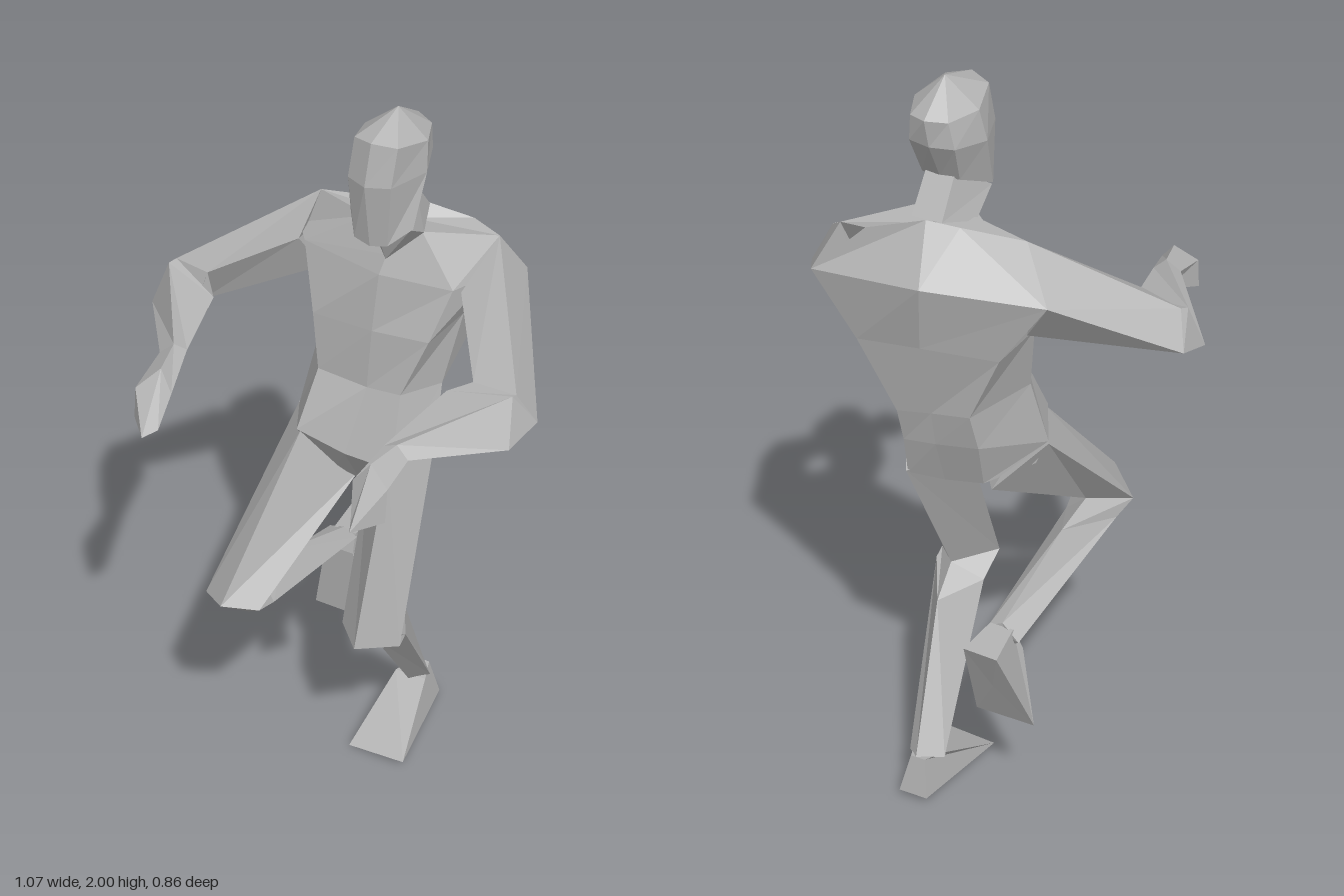
import * as THREE from 'three';

const skin = new THREE.MeshStandardMaterial({ color: 0xb2b2b2, flatShading: true });
skin.name = 'plain grey';

// Skin a list of matching cross-sections into a closed faceted solid.
// An optional tip replaces the centre of the last cap.
function loft(name, rings, tip) {
  const centre = r => [0, 1, 2].map(k => r.reduce((s, p) => s + p[k], 0) / r.length);
  const tris = [], n = rings[0].length, last = rings[rings.length - 1];
  const c0 = centre(rings[0]), c1 = tip || centre(last);
  for (let i = 0; i < n; i++) {
    const j = (i + 1) % n;
    for (let r = 0; r + 1 < rings.length; r++) {
      const a = rings[r], b = rings[r + 1];
      tris.push([a[i], a[j], b[j]], [a[i], b[j], b[i]]);
    }
    tris.push([c0, rings[0][j], rings[0][i]], [c1, last[i], last[j]]);
  }
  // Turn every face outward using the signed volume about the first cap
  let volume = 0;
  const o = new THREE.Vector3(...c0);
  for (const t of tris) {
    const [a, b, c] = t.map(p => new THREE.Vector3(...p).sub(o));
    volume += a.dot(b.cross(c));
  }
  if (volume < 0) tris.forEach(t => t.reverse());
  const g = new THREE.BufferGeometry();
  g.setAttribute('position', new THREE.Float32BufferAttribute(tris.flat(2), 3));
  g.computeVertexNormals();
  const mesh = new THREE.Mesh(g, skin);
  mesh.name = name;
  return mesh;
}

// Ring mirrored about the head's own middle plane, from front to back
function mirrored(cx, half) {
  const left = half.map(([dx, y, z]) => [cx + dx, y, z]);
  const right = half.slice(1, -1).reverse().map(([dx, y, z]) => [cx - dx, y, z]);
  return [...left, ...right];
}

export function createModel() {
  const body = new THREE.Group();
  body.name = 'runningFigure';

  // Trunk: rings run front, left, back, right
  const hips = [[0, 1.04, -.05], [.13, 1.03, -.06], [.195, 1.06, -.17], [.11, 1.08, -.34],
    [.03, 1.08, -.325], [-.08, 1.09, -.31], [-.195, 1.06, -.16], [-.13, 1.08, -.035]];
  const crotch = [[0, .91, -.13], [.07, .93, -.12], [.165, 1, -.19], [.12, .96, -.305],
    [.03, .95, -.28], [-.07, .96, -.265], [-.17, 1, -.18], [-.05, .95, -.1]];
  const waist = [[.03, 1.22, -.11], [.12, 1.22, -.12], [.185, 1.22, -.22], [.11, 1.18, -.37],
    [.03, 1.18, -.345], [-.07, 1.19, -.335], [-.165, 1.24, -.2], [-.11, 1.23, -.11]];
  const chest = [[.04, 1.39, -.115], [.18, 1.38, -.15], [.22, 1.42, -.26], [.21, 1.36, -.38],
    [.03, 1.39, -.395], [-.15, 1.37, -.335], [-.195, 1.42, -.24], [-.13, 1.385, -.12]];
  const shoulders = [[.05, 1.55, -.13], [.22, 1.52, -.195], [.28, 1.54, -.28], [.33, 1.52, -.38],
    [.01, 1.57, -.43], [-.27, 1.54, -.325], [-.23, 1.56, -.23], [-.19, 1.545, -.185]];
  const collar = [[.06, 1.6, -.15], [.13, 1.66, -.2], [.28, 1.63, -.32], [.2, 1.645, -.34],
    [.06, 1.68, -.3], [-.02, 1.67, -.28], [-.18, 1.66, -.25], [-.02, 1.66, -.2]];
  body.add(loft('pelvis', [crotch, hips]));
  body.add(loft('torso', [hips, waist, chest, shoulders, collar]));

  // Neck leaning forward, and head
  body.add(loft('neck', [
    [[.06, 1.59, -.145], [.135, 1.66, -.2], [.1, 1.68, -.295], [.02, 1.68, -.295], [-.02, 1.65, -.2]],
    [[.06, 1.7, -.095], [.14, 1.71, -.12], [.1, 1.78, -.215], [.025, 1.78, -.215], [-.02, 1.71, -.12]]]));
  body.add(loft('head', [
    mirrored(.062, [[0, 1.675, -.06], [.045, 1.685, -.065], [.085, 1.715, -.12], [.05, 1.76, -.22], [0, 1.76, -.225]]),
    mirrored(.06, [[0, 1.85, -.035], [.058, 1.85, -.06], [.095, 1.85, -.17], [.06, 1.86, -.265], [0, 1.86, -.28]]),
    mirrored(.066, [[0, 1.96, -.055], [.058, 1.95, -.08], [.085, 1.93, -.18], [.05, 1.925, -.265], [0, 1.93, -.29]]),
  ], [.07, 2, -.18]));

  // Arms: rings run top, inner, bottom, outer
  const rightWrist = [[-.33, 1.42, .21], [-.305, 1.4, .19], [-.32, 1.36, .2], [-.365, 1.39, .22]];
  body.add(loft('rightArm', [
    [[-.18, 1.66, -.25], [-.21, 1.54, -.19], [-.19, 1.42, -.27], [-.27, 1.54, -.325]],
    [[-.49, 1.465, -.06], [-.38, 1.475, -.03], [-.42, 1.36, -.07], [-.525, 1.38, -.115]],
    [[-.5, 1.46, -.04], [-.345, 1.43, 0], [-.4, 1.36, .02], [-.535, 1.35, -.01]],
    rightWrist]));
  body.add(loft('rightHand', [rightWrist,
    [[-.31, 1.41, .3], [-.27, 1.36, .32], [-.31, 1.3, .27], [-.36, 1.36, .34]],
    [[-.305, 1.27, .405], [-.28, 1.28, .37], [-.31, 1.27, .34], [-.36, 1.28, .35]]]));
  const leftWrist = [[.31, 1.375, .25], [.275, 1.36, .25], [.3, 1.32, .23], [.34, 1.34, .25]];
  body.add(loft('leftArm', [
    [[.28, 1.63, -.32], [.24, 1.52, -.2], [.22, 1.42, -.29], [.33, 1.52, -.38]],
    [[.49, 1.42, -.01], [.37, 1.41, -.02], [.42, 1.31, -.05], [.53, 1.33, -.05]],
    [[.485, 1.42, 0], [.325, 1.4, .03], [.4, 1.31, .05], [.51, 1.31, .06]],
    leftWrist]));
  body.add(loft('leftHand', [leftWrist,
    [[.29, 1.37, .34], [.245, 1.31, .345], [.29, 1.25, .29], [.34, 1.32, .35]],
    [[.28, 1.22, .425], [.27, 1.23, .4], [.285, 1.22, .33], [.34, 1.23, .36]]]));

  // Legs: rings run front, outer, back, inner
  const leftKnee = [[.12, .56, .11], [.195, .52, 0], [.12, .55, -.09], [.035, .55, .02]];
  body.add(loft('leftThigh', [
    [[.12, 1.05, -.06], [.195, 1.08, -.17], [.12, .97, -.315], [.01, .92, -.16]], leftKnee]));
  body.add(loft('leftShin', [leftKnee,
    [[.12, .515, 0], [.185, .52, -.05], [.11, .49, -.185], [.04, .5, -.06]],
    [[.06, .115, -.31], [.107, .12, -.35], [.07, .13, -.385], [.01, .12, -.34]]]));
  const rightKnee = [[-.165, .72, .295], [-.255, .68, .22], [-.17, .72, .11], [-.09, .69, .23]];
  body.add(loft('rightThigh', [
    [[-.12, 1.08, -.04], [-.2, 1.06, -.17], [-.1, .96, -.28], [-.01, .92, -.14]], rightKnee]));
  body.add(loft('rightShin', [rightKnee,
    [[-.16, .615, .17], [-.235, .65, .16], [-.16, .69, -.01], [-.1, .65, .14]],
    [[-.15, .51, -.29], [-.195, .55, -.32], [-.14, .58, -.3], [-.1, .56, -.3]]]));

  // Wedge feet: ankle corners to sole corners
  body.add(loft('leftFoot', [
    [[.015, .12, -.32], [.105, .12, -.325], [.085, .13, -.385], [.045, .13, -.385]],
    [[-.01, 0, -.1], [.158, .012, -.1], [.11, .02, -.405], [.03, .02, -.405]]]));
  body.add(loft('rightFoot', [
    [[-.19, .51, -.285], [-.105, .51, -.285], [-.105, .57, -.3], [-.17, .57, -.3]],
    [[-.23, .285, -.3], [-.065, .285, -.3], [-.09, .56, -.415], [-.185, .56, -.42]]]));
  return body;
}
